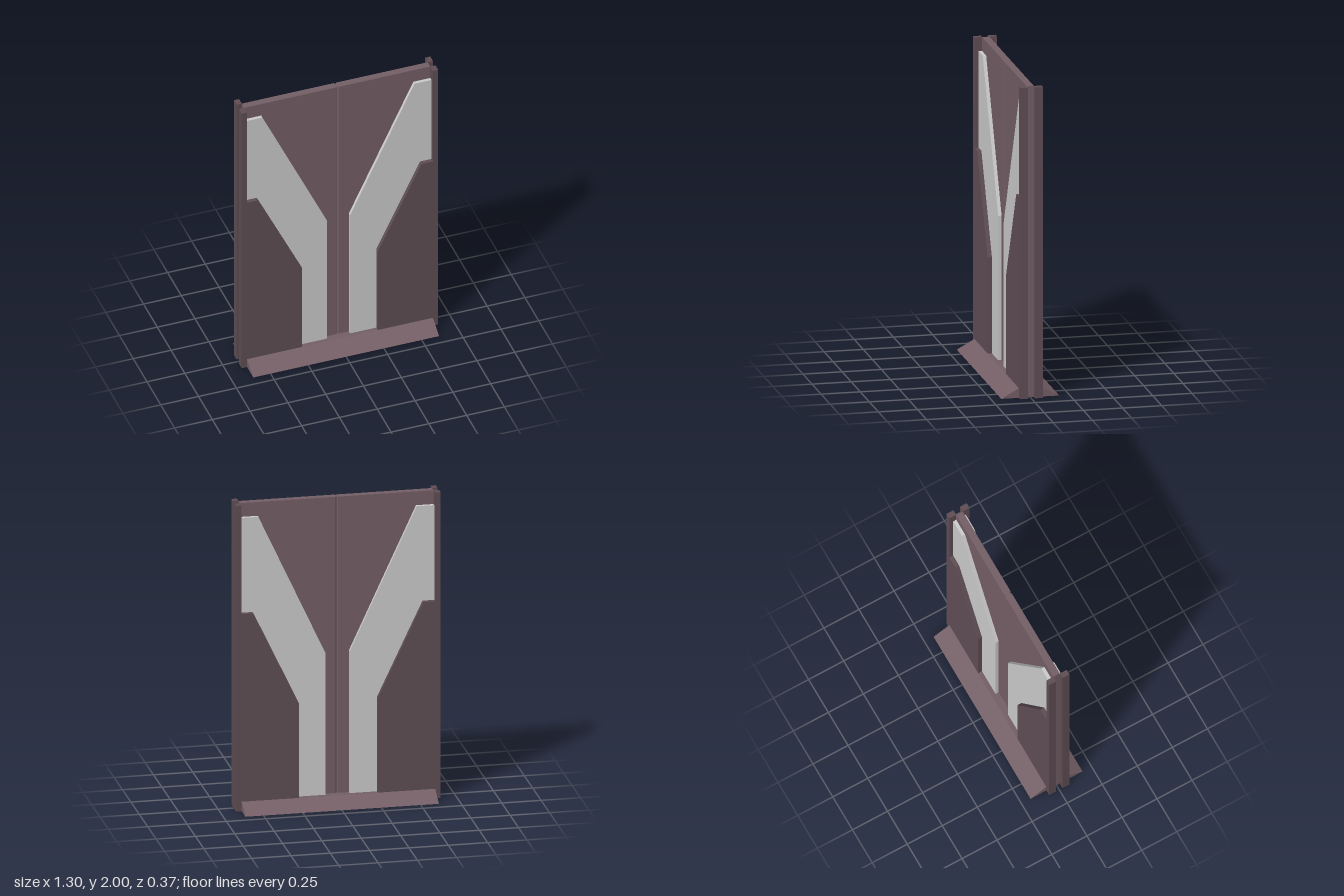
import * as THREE from 'three';

const core = new THREE.MeshStandardMaterial({ color: 0x745f66, flatShading: true });
const trim = new THREE.MeshStandardMaterial({ color: 0x5f4e55, flatShading: true });
const grey = new THREE.MeshStandardMaterial({ color: 0xcccccc, flatShading: true });

const EDGE = 0.615, SIDE = 0.65, CORE_Z = 0.023, BAND_Z = 0.045, TRIM_Z = 0.072;

// Extrudes an outline upwards from depth 0 along +z
function extrude(name, points, depth, material) {
  const shape = new THREE.Shape(points.map(([x, y]) => new THREE.Vector2(x, y)));
  const geometry = new THREE.ExtrudeGeometry(shape, { depth, bevelEnabled: false });
  const mesh = new THREE.Mesh(geometry, material);
  mesh.name = name;
  return mesh;
}

export function createModel() {
  const door = new THREE.Group();
  door.name = 'door';

  // Core slab, plan outline with a V groove down the middle of each face
  const g = 0.007, d = 0.01;
  const slab = extrude('coreSlab', [
    [-EDGE, -CORE_Z], [-g, -CORE_Z], [0, -CORE_Z + d], [g, -CORE_Z], [EDGE, -CORE_Z],
    [EDGE, CORE_Z], [g, CORE_Z], [0, CORE_Z - d], [-g, CORE_Z], [-EDGE, CORE_Z],
  ], 2, core);
  slab.rotation.x = -Math.PI / 2;
  door.add(slab);

  // Bent band, and the raised side panel whose inner edge follows it
  const band = [
    [0.077, 0], [0.25, 0], [0.25, 0.68], [0.54, 1.29], [EDGE, 1.29],
    [EDGE, 1.91], [0.503, 1.91], [0.077, 0.99],
  ];
  const panel = [
    [0.25, 0], [SIDE, 0], [SIDE, 2], [EDGE, 2], [EDGE, 1.29], [0.54, 1.29], [0.25, 0.68],
  ];

  // Both faces carry the same left and right pieces
  for (const face of [1, -1]) {
    const faceGroup = new THREE.Group();
    faceGroup.name = face > 0 ? 'frontFace' : 'backFace';
    faceGroup.rotation.y = face > 0 ? 0 : Math.PI;
    for (const side of [1, -1]) {
      const mirror = ([x, y]) => [x * side, y];
      const bandMesh = extrude('bentBand', band.map(mirror), BAND_Z - CORE_Z, grey);
      const panelMesh = extrude('sidePanel', panel.map(mirror), TRIM_Z - CORE_Z, trim);
      bandMesh.position.z = panelMesh.position.z = CORE_Z;
      faceGroup.add(bandMesh, panelMesh);
    }
    door.add(faceGroup);
  }

  // Sill with a ramp on both sides
  const sill = extrude('rampSill', [
    [-0.185, 0], [0.185, 0], [TRIM_Z, 0.062], [-TRIM_Z, 0.062],
  ], EDGE * 2, core);
  sill.rotation.y = Math.PI / 2;
  sill.position.x = -EDGE;
  door.add(sill);

  return door;
}
